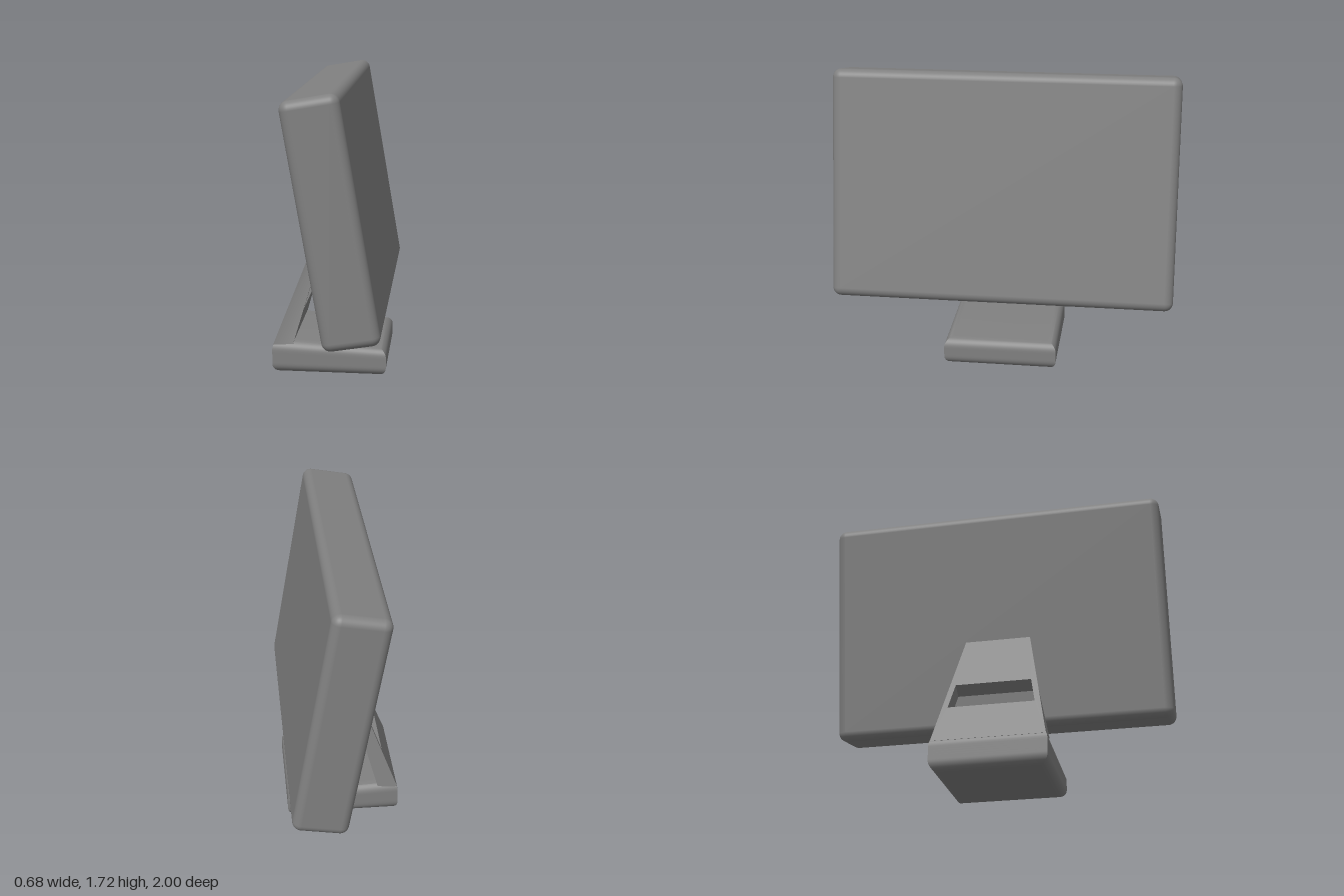
import * as THREE from 'three';
import { toCreasedNormals } from 'three/addons/utils/BufferGeometryUtils.js';
import { RoundedBoxGeometry } from 'three/addons/geometries/RoundedBoxGeometry.js';

const material = new THREE.MeshStandardMaterial({ color: 0x808080 });

// Move every vertex of a geometry by a rule
function reshape(geometry, rule) {
  const pos = geometry.attributes.position;
  const v = new THREE.Vector3();
  for (let i = 0; i < pos.count; i++) {
    rule(v.fromBufferAttribute(pos, i));
    pos.setXYZ(i, v.x, v.y, v.z);
  }
  return toCreasedNormals(geometry, 0.7);
}

function addPart(group, name, geometry) {
  const mesh = new THREE.Mesh(geometry, material);
  mesh.name = name;
  group.add(mesh);
  return mesh;
}

// Wedge-topped foot, rounded along its upper and lower rims
function footGeometry() {
  const radius = 0.055;
  return reshape(new THREE.BoxGeometry(0.667, 1, 0.665, 1, 24, 1), (v) => {
    const t = (1 - Math.cos(Math.PI * (v.y + 0.5))) / 2;
    const height = 0.183 - 0.05 * v.x;
    const y = t * height;
    const k = Math.max(0, radius - Math.min(y, height - y));
    const inset = radius - Math.sqrt(radius * radius - k * k);
    v.set(v.x - Math.sign(v.x) * inset - 0.005, y, v.z - Math.sign(v.z) * inset);
  });
}

// Tapered leaning arm with a window, thicker at the bottom
function armGeometry() {
  const quad = (Type, z0, y0, z1, y1) => new Type([
    new THREE.Vector2(-z0, y0), new THREE.Vector2(z0, y0),
    new THREE.Vector2(z1, y1), new THREE.Vector2(-z1, y1),
  ]);
  const outline = quad(THREE.Shape, 0.325, 0, 0.185, 1);
  outline.holes.push(quad(THREE.Path, 0.25, 0.3, 0.22, 0.51));
  const front = [new THREE.Vector2(-0.216, 0.18), new THREE.Vector2(-0.03, 0.83)];
  const back = [new THREE.Vector2(-0.335, 0.17), new THREE.Vector2(-0.04, 0.93)];
  const a = new THREE.Vector2(), b = new THREE.Vector2();
  const geometry = new THREE.ExtrudeGeometry(outline, { depth: 1, bevelEnabled: false });
  return reshape(geometry, (v) => {
    a.lerpVectors(back[0], back[1], v.y);
    b.lerpVectors(front[0], front[1], v.y);
    a.lerp(b, v.z);
    v.set(a.x, a.y, -v.x);
  });
}

export function createModel() {
  const group = new THREE.Group();
  group.name = 'monitor';

  addPart(group, 'foot', footGeometry());
  addPart(group, 'arm', armGeometry());

  // Rounded display housing, tilted back
  const display = addPart(group, 'display', new RoundedBoxGeometry(0.315, 1.338, 2, 5, 0.05));
  display.position.set(0.0745, 1.043, 0);
  display.rotation.z = THREE.MathUtils.degToRad(9.9);

  return group;
}
